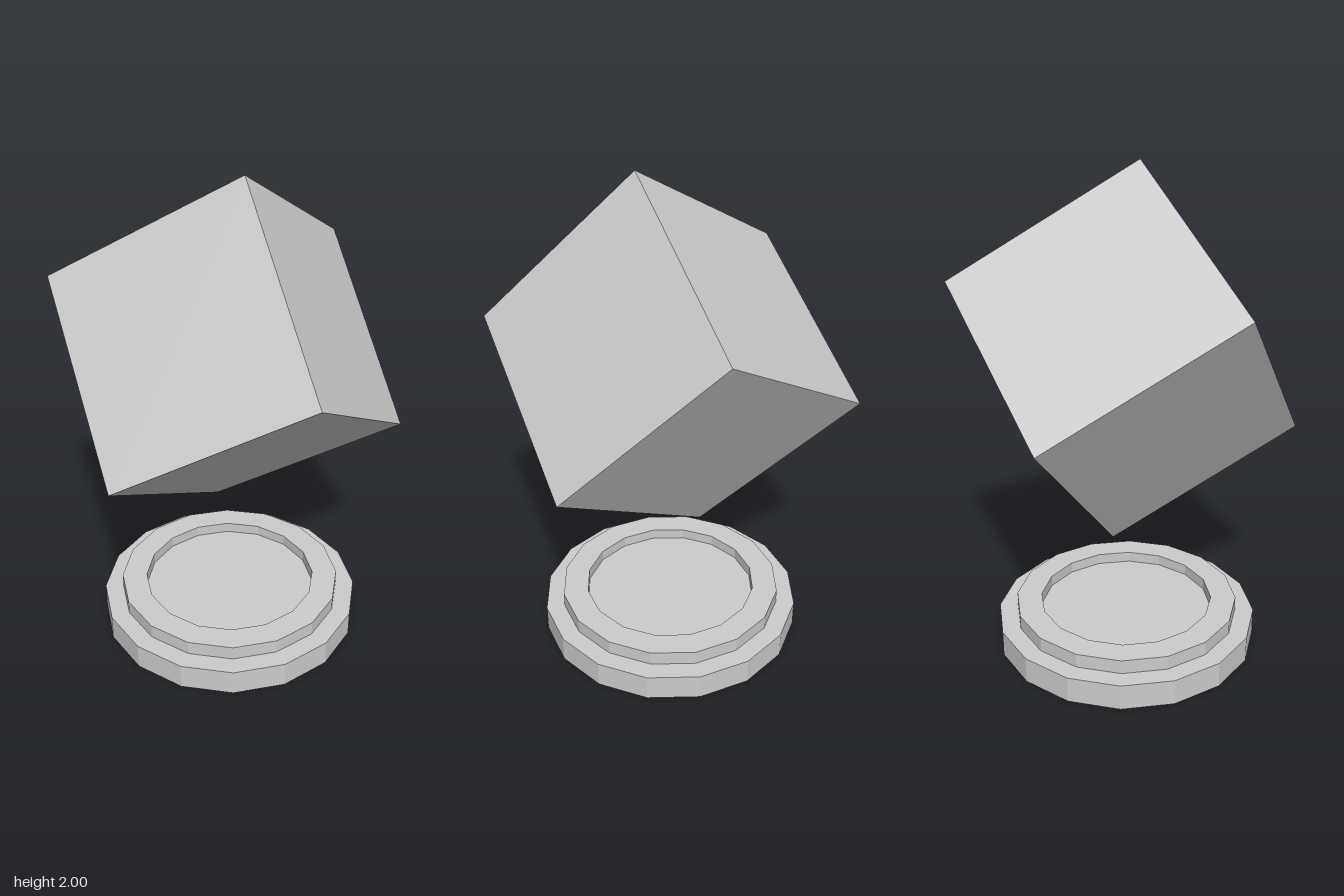
import * as THREE from 'three';

export function createModel() {
  const model = new THREE.Group();
  const material = new THREE.MeshStandardMaterial({ color: 0xcccccc, flatShading: true });

  // Stepped 16-sided pedestal with a shallow recess in its top
  const profile = [
    [0, 0], [0.548, 0], [0.548, 0.11], [0.47, 0.11],
    [0.47, 0.17], [0.364, 0.17], [0.364, 0.123], [0, 0.123],
  ].map(([r, y]) => new THREE.Vector2(r, y));
  const pedestal = new THREE.Mesh(new THREE.LatheGeometry(profile, 16), material);
  pedestal.name = 'pedestal';
  model.add(pedestal);

  // Floating cube, turned on its axis and then tipped backwards
  const size = 0.866;
  const cube = new THREE.Mesh(new THREE.BoxGeometry(size, size, size), material);
  cube.name = 'floatingCube';
  cube.position.y = 1.261;
  cube.rotation.set(-Math.PI / 4, Math.PI / 4, 0);
  model.add(cube);

  return model;
}
